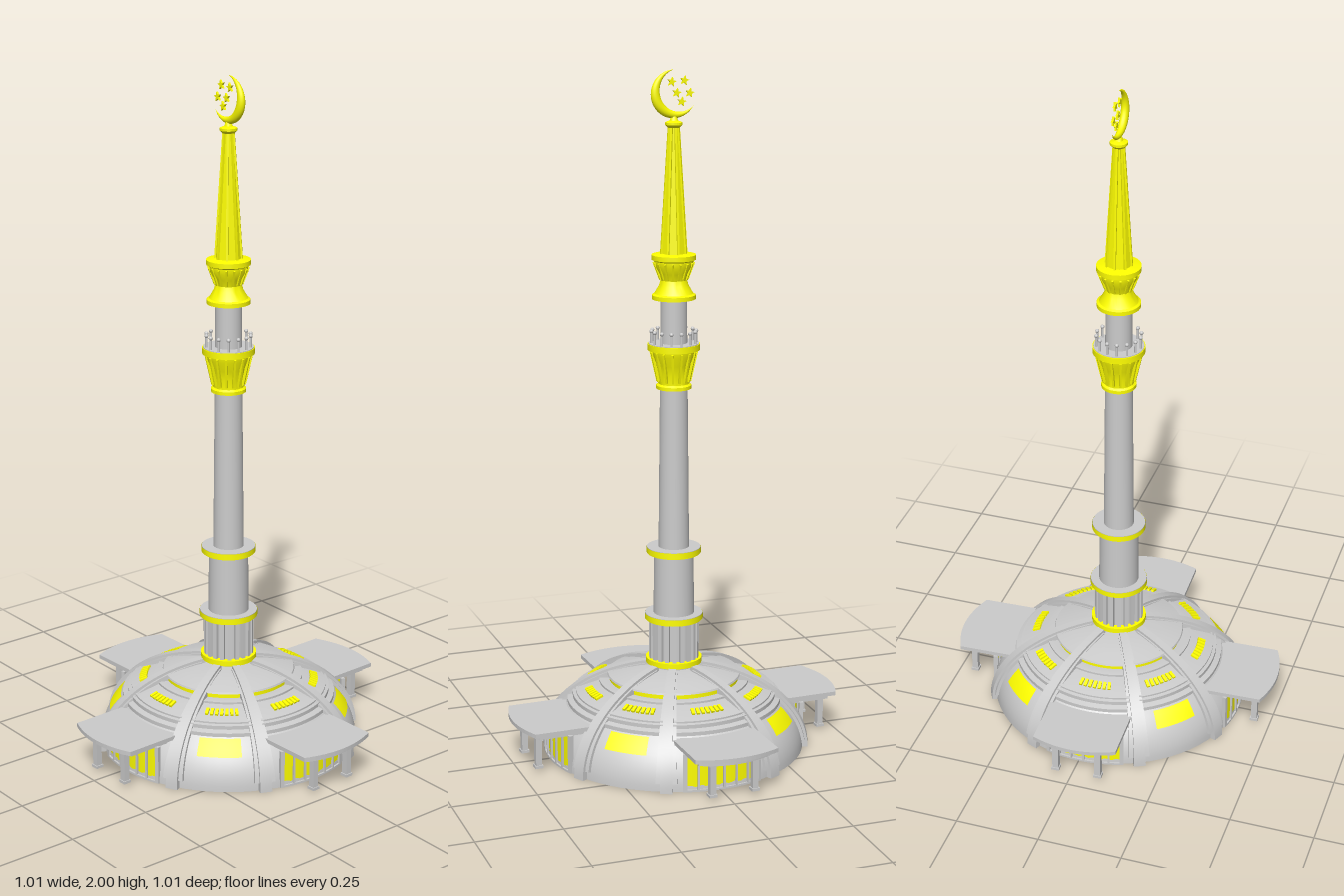
import * as THREE from 'three';
import { toCreasedNormals } from 'three/addons/utils/BufferGeometryUtils.js';
import { ParametricGeometry } from 'three/addons/geometries/ParametricGeometry.js';

const grey = new THREE.MeshStandardMaterial({ color: 0xcccccc, side: THREE.DoubleSide });
const gold = new THREE.MeshStandardMaterial({ color: 0xffff00, side: THREE.DoubleSide });
const DEG = Math.PI / 180;

function add(parent, name, geometry, material, x = 0, y = 0, z = 0) {
  const mesh = new THREE.Mesh(geometry, material);
  mesh.name = name;
  mesh.position.set(x, y, z);
  parent.add(mesh);
  return mesh;
}

// Group turned about the vertical axis; local +z points outwards
function spoke(parent, name, degrees) {
  const g = new THREE.Group();
  g.name = name;
  g.rotation.y = degrees * DEG;
  parent.add(g);
  return g;
}

// Turned profile of [radius, height] pairs, optionally only a sector centred on +z
function turned(points, segments = 48, halfAngle = 180) {
  const pts = points.map(([r, y]) => new THREE.Vector2(r, y));
  const g = new THREE.LatheGeometry(pts, segments, -halfAngle * DEG, 2 * halfAngle * DEG);
  return toCreasedNormals(g, 0.5);
}

const box = (w, h, d) => new THREE.BoxGeometry(w, h, d);
const drum = (r0, r1, y0, y1, n = 40) =>
  new THREE.CylinderGeometry(r1, r0, y1 - y0, n).translate(0, (y0 + y1) / 2, 0);

// Height of the dome's elliptical section at radius r
const domeY = (r, R = 0.385, H = 0.25) => H * Math.sqrt(Math.max(0, 1 - (r / R) ** 2));

// Tapered beam bent over the dome, widening outwards
function ribGeometry(wIn, wOut, lift, rIn, endAngle) {
  const g = new THREE.BoxGeometry(1, 1, 1, 1, 1, 20);
  const p = g.attributes.position;
  const start = Math.acos(rIn / 0.39);
  for (let i = 0; i < p.count; i++) {
    const t = p.getZ(i) + 0.5;
    const a = start + (endAngle - start) * t;
    const up = p.getY(i) > 0 ? lift : -0.02;
    p.setXYZ(i, p.getX(i) * (wIn + (wOut - wIn) * t),
      (0.25 + up) * Math.sin(a), (0.385 + up) * Math.cos(a));
  }
  g.computeVertexNormals();
  return g;
}

function buildDome(hall) {
  const profile = [[0, 0], [0.385, 0]];
  for (let i = 1; i <= 9; i++) {
    const r = 0.385 - (0.067 * (i / 9) ** 2);
    profile.push([r, domeY(r)]);
  }
  profile.push([0.318, 0.152], [0.302, 0.157], [0.302, 0.168], [0.292, 0.17], [0.292, 0.175],
    [0.222, 0.2], [0.222, 0.206], [0.19, 0.206], [0.19, 0.22], [0.198, 0.22], [0.196, 0.225],
    [0.15, 0.237], [0.1, 0.246], [0, 0.252]);
  add(hall, 'dome', turned(profile, 72), grey);
  add(hall, 'clerestory', turned([[0.192, 0.206], [0.192, 0.219]], 64), gold);

  // Slot windows around the middle tier
  for (let k = 0; k < 8; k++) {
    for (let i = -3; i <= 3; i++) {
      const s = spoke(hall, 'slotWindow', k * 45 + i * 3.2);
      add(s, 'slot', box(0.009, 0.01, 0.024), gold, 0, 0.189, 0.256).rotation.x = 0.34;
    }
  }

  // Large windows on the diagonals
  const pane = [0.357, 0.345, 0.333, 0.322].map(r => [r + 0.002, domeY(r) + 0.002]);
  for (let k = 0; k < 4; k++) {
    add(spoke(hall, 'largeWindow', 45 + 90 * k), 'pane', turned(pane, 10, 10.5), gold);
  }

  // Double layered ribs
  for (let k = 0; k < 4; k++) {
    for (const side of [-25, 25]) {
      const s = spoke(hall, 'rib', 90 * k + side);
      add(s, 'ribCap', ribGeometry(0.022, 0.036, 0.016, 0.075, 0), grey);
      add(s, 'ribFlange', ribGeometry(0.03, 0.062, 0.008, 0.085, 0.1), grey);
    }
  }
}

function canopyGeometry(inset, depth) {
  const w = 0.126 - inset, z = 0.476 - inset;
  const s = new THREE.Shape();
  s.moveTo(-w, 0.3);
  s.lineTo(w, 0.3);
  s.lineTo(w, z);
  s.quadraticCurveTo(0, z + 0.055, -w, z);
  s.closePath();
  return new THREE.ExtrudeGeometry(s, { depth, bevelEnabled: false, curveSegments: 16 }).rotateX(Math.PI / 2);
}

function buildEntrance(hall, degrees) {
  const e = spoke(hall, 'entrance', degrees);
  add(e, 'canopyRoof', canopyGeometry(0, 0.012), grey, 0, 0.137, 0);
  add(e, 'canopySoffit', canopyGeometry(0.018, 0.014), grey, 0, 0.125, 0);
  add(e, 'entranceGlass', turned([[0.384, 0.004], [0.384, 0.113]], 16, 17), gold);
  add(e, 'threshold', turned([[0.375, 0], [0.39, 0], [0.39, 0.006], [0.375, 0.006]], 16, 17.5), grey);
  for (let i = -3; i <= 3; i++) {
    const m = spoke(e, 'mullion', i * 5.7);
    add(m, 'mullionBar', box(Math.abs(i) === 3 ? 0.012 : 0.006, 0.114, 0.012), grey, 0, 0.057, 0.384);
  }
  for (const x of [-0.065, 0.065]) {
    add(e, 'column', box(0.018, 0.095, 0.018), grey, x, 0.062, 0.45);
    add(e, 'columnFoot', box(0.024, 0.008, 0.024), grey, x, 0.015, 0.45);
    add(e, 'columnHead', box(0.026, 0.008, 0.026), grey, x, 0.108, 0.45);
  }
}

function buildTower(tower) {
  // Fluted pedestal
  add(tower, 'pedestal', drum(0.064, 0.064, 0.24, 0.4), grey);
  for (let i = 0; i < 20; i++) {
    add(spoke(tower, 'flute', i * 18), 'pilaster', box(0.012, 0.13, 0.014), grey, 0, 0.33, 0.067);
  }
  add(tower, 'pedestalRing', drum(0.083, 0.083, 0.258, 0.274), gold);

  // Shafts with gold edged ledges
  add(tower, 'lowerShaft', drum(0.06, 0.058, 0.4, 0.6), grey);
  add(tower, 'middleShaft', drum(0.045, 0.04, 0.6, 1.1), grey);
  add(tower, 'upperShaft', drum(0.039, 0.038, 1.2, 1.37), grey);
  for (const [r, y] of [[0.086, 0.39], [0.08, 0.592]]) {
    add(tower, 'ledgeBand', turned([[r - 0.02, y], [r - 0.004, y], [r - 0.004, y + 0.004], [r, y + 0.004], [r, y + 0.02]]), gold);
    add(tower, 'ledgeFloor', drum(r - 0.001, r - 0.001, y + 0.012, y + 0.021), grey);
  }

  // Balcony capital with ornamental fins
  add(tower, 'balconyCapital', turned([[0.04, 1.088], [0.051, 1.088], [0.051, 1.098], [0.045, 1.103],
    [0.046, 1.13], [0.053, 1.16], [0.064, 1.188], [0.066, 1.2], [0.076, 1.202], [0.076, 1.22], [0.07, 1.22]], 32), gold);
  for (let i = 0; i < 16; i++) {
    const f = spoke(tower, 'capitalFin', i * 22.5);
    add(f, 'fin', box(0.006, 0.09, 0.008), gold, 0, 1.154, 0.0565).rotation.x = 0.22;
  }
  add(tower, 'balconyFloor', drum(0.073, 0.073, 1.208, 1.222), grey);
  for (let i = 0; i < 14; i++) {
    const b = spoke(tower, 'baluster', i * 360 / 14);
    add(b, 'balusterPost', drum(0.0035, 0.0035, 1.22, 1.255, 8), grey, 0, 0, 0.065);
    add(b, 'balusterKnob', new THREE.SphereGeometry(0.006, 8, 6), grey, 0, 1.256, 0.065);
  }

  // Waisted collar below the spire
  add(tower, 'collar', turned([[0.036, 1.35], [0.063, 1.35], [0.063, 1.362], [0.056, 1.366], [0.042, 1.39],
    [0.038, 1.405], [0.044, 1.425], [0.055, 1.445], [0.056, 1.46], [0.064, 1.464], [0.064, 1.478], [0.036, 1.482]], 32), gold);
  for (let i = 0; i < 16; i++) {
    const f = spoke(tower, 'collarFin', i * 22.5);
    add(f, 'fin', box(0.005, 0.052, 0.008), gold, 0, 1.432, 0.048).rotation.x = 0.36;
  }

  // Ribbed spire
  add(tower, 'spire', toCreasedNormals(drum(0.037, 0.013, 1.478, 1.845, 8), 0.3), gold);
  for (let i = 0; i < 8; i++) {
    const s = spoke(tower, 'spireRib', i * 45);
    add(s, 'spireEdge', box(0.006, 0.366, 0.007), gold, 0, 1.662, 0.0255).rotation.x = -0.065;
  }
  add(tower, 'spireCap', turned([[0, 1.838], [0.017, 1.838], [0.025, 1.846], [0.025, 1.853],
    [0.012, 1.858], [0.007, 1.872], [0, 1.874]], 24), gold);
}

function buildFinial(parent) {
  const f = new THREE.Group();
  f.name = 'finial';
  f.position.y = 1.932;
  parent.add(f);
  // Crescent between two offset circles, opening to the upper side
  const R = 0.068, r = 0.0605, d = 0.0205;
  const crescent = new ParametricGeometry((u, v, out) => {
    const a = (60 + 240 * u) * DEG;
    const inner = d * Math.cos(a) + Math.sqrt(r * r - (d * Math.sin(a)) ** 2);
    const half = Math.max(0, R - inner) / 2;
    const c = v * Math.PI * 2;
    const rad = R - half + half * Math.cos(c);
    const dir = a + 150 * DEG;
    out.set(rad * Math.cos(dir), rad * Math.sin(dir), 0.85 * half * Math.sin(c));
  }, 48, 16);
  add(f, 'crescent', crescent, gold);

  const star = new THREE.Shape();
  for (let i = 0; i < 10; i++) {
    const a = (90 + i * 36) * DEG, q = i % 2 ? 0.006 : 0.014;
    star[i ? 'lineTo' : 'moveTo'](q * Math.cos(a), q * Math.sin(a));
  }
  star.closePath();
  const starGeo = new THREE.ExtrudeGeometry(star, { depth: 0.006, bevelEnabled: false }).translate(0, 0, -0.003);
  for (const [x, y] of [[-0.032, 0.037], [0.006, 0.034], [-0.048, 0.002], [-0.009, 0.003], [-0.024, -0.022]]) {
    add(f, 'star', starGeo, gold, x, y, 0).rotation.z = 0.2;
  }
}

export function createModel() {
  const model = new THREE.Group();
  model.name = 'minaretHall';
  const hall = spoke(model, 'domedHall', 2);
  buildDome(hall);
  for (let k = 0; k < 4; k++) buildEntrance(hall, 90 * k);
  buildTower(spoke(model, 'tower', 0));
  buildFinial(model);
  return model;
}
